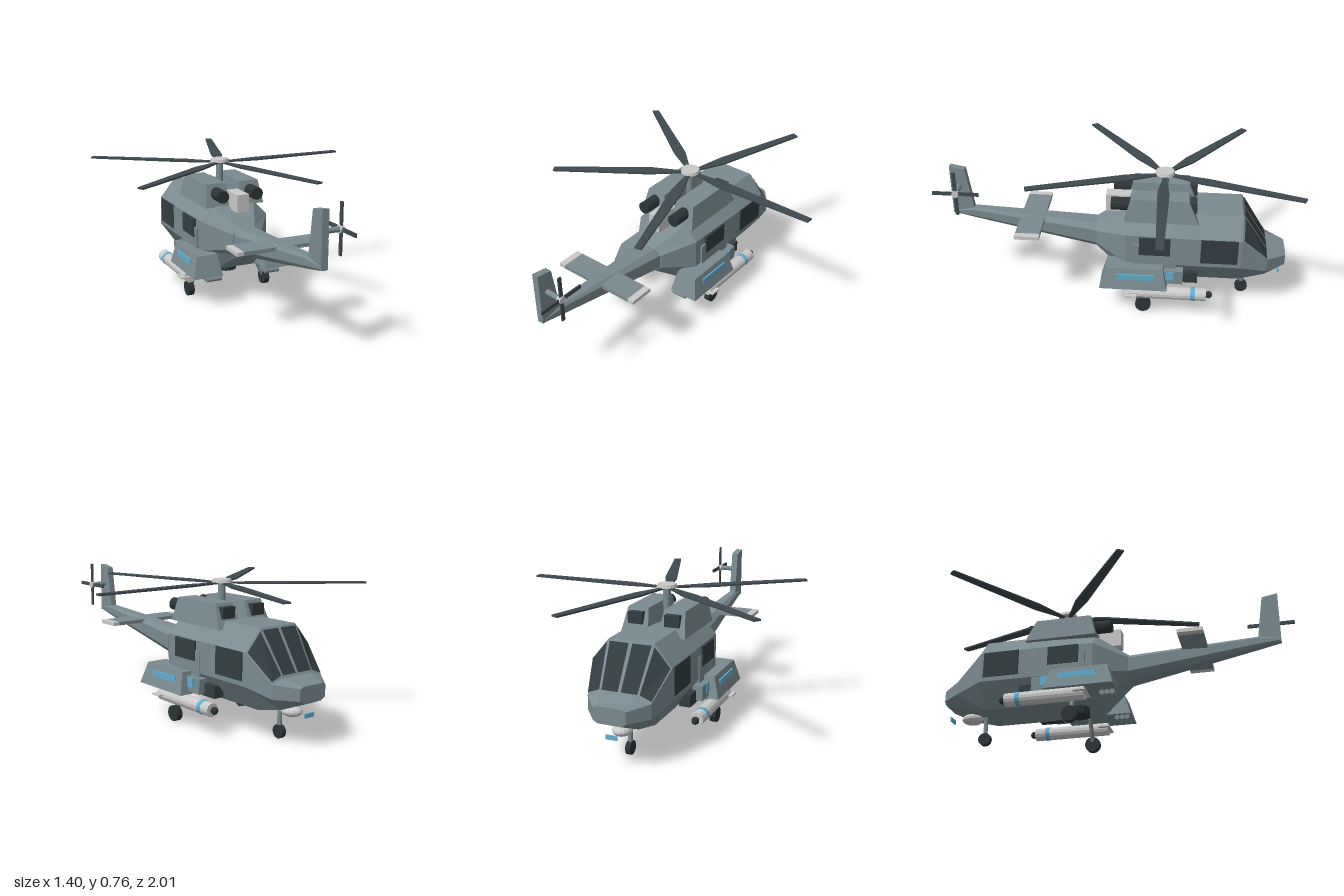
import * as THREE from 'three';

const mat = (name, color) => {
  const m = new THREE.MeshStandardMaterial({ color, flatShading: true });
  m.name = name;
  return m;
};

export function createModel() {
  const body = mat('hull grey', 0x7a8b90);
  const glass = mat('dark glass', 0x333d40);
  const blade = mat('blade grey', 0x3f4a4e);
  const black = mat('rubber black', 0x2c3437);
  const light = mat('pale grey', 0xc9cac9);
  const blue = mat('marking blue', 0x62aed2);

  const model = new THREE.Group();
  const craft = new THREE.Group();
  craft.name = 'helicopter';
  craft.position.x = -0.07;
  model.add(craft);

  const add = (name, geo, m, x = 0, y = 0, z = 0, parent = craft) => {
    const mesh = new THREE.Mesh(geo, m);
    mesh.name = name;
    mesh.position.set(x, y, z);
    parent.add(mesh);
    return mesh;
  };
  // box from its minimum and maximum corners
  const box = (name, m, x0, x1, y0, y1, z0, z1) =>
    add(name, new THREE.BoxGeometry(Math.abs(x1 - x0), y1 - y0, z1 - z0), m, (x0 + x1) / 2, (y0 + y1) / 2, (z0 + z1) / 2);
  // box whose upper face is smaller: [x0, x1, z0, z1] below and above
  const taperBox = (name, m, lo, y0, hi, y1) => {
    const g = new THREE.BoxGeometry(1, 1, 1), p = g.attributes.position;
    for (let i = 0; i < p.count; i++) {
      const up = p.getY(i) > 0, r = up ? hi : lo;
      p.setXYZ(i, p.getX(i) > 0 ? r[1] : r[0], up ? y1 : y0, p.getZ(i) > 0 ? r[3] : r[2]);
    }
    g.computeVertexNormals();
    return add(name, g, m);
  };
  const rod = (name, m, a, b, r, r2 = r, sides = 10) => {
    const A = new THREE.Vector3(...a), B = new THREE.Vector3(...b), d = B.clone().sub(A);
    const mesh = add(name, new THREE.CylinderGeometry(r2, r, d.length(), sides), m);
    mesh.position.copy(A).add(B).multiplyScalar(0.5);
    mesh.quaternion.setFromUnitVectors(new THREE.Vector3(0, 1, 0), d.normalize());
    return mesh;
  };

  // eight-sided sections: z, top, shoulder, lower side, bottom, then half widths top, side, bottom
  const ring = ([z, t, s, l, b, wt, ws, wb]) => [
    [wb, b, z], [ws, l, z], [ws, s, z], [wt, t, z], [-wt, t, z], [-ws, s, z], [-ws, l, z], [-wb, b, z]];
  const loft = (name, rows) => {
    const v = [], rings = rows.map(ring);
    const tri = (...ps) => ps.forEach((p) => v.push(...p));
    for (let k = 0; k + 1 < rings.length; k++) {
      for (let i = 0; i < 8; i++) {
        const j = (i + 1) % 8, a = rings[k], b = rings[k + 1];
        tri(a[i], a[j], b[j]);
        tri(a[i], b[j], b[i]);
      }
    }
    const f = rings[0], e = rings[rings.length - 1];
    for (let i = 1; i < 7; i++) {
      tri(f[0], f[i + 1], f[i]);
      tri(e[0], e[i], e[i + 1]);
    }
    const g = new THREE.BufferGeometry();
    g.setAttribute('position', new THREE.Float32BufferAttribute(v, 3));
    g.computeVertexNormals();
    return add(name, g, body);
  };

  // fuselage and tail boom
  const noseRow = [-0.845, 0.345, 0.325, 0.25, 0.19, 0.1, 0.165, 0.1];
  const cabinRow = [-0.7, 0.57, 0.46, 0.29, 0.16, 0.12, 0.21, 0.12];
  loft('fuselage', [
    [-0.95, 0.32, 0.31, 0.25, 0.235, 0.065, 0.085, 0.06], noseRow, cabinRow,
    [-0.43, 0.57, 0.46, 0.29, 0.16, 0.12, 0.21, 0.12],
    [-0.07, 0.54, 0.46, 0.29, 0.17, 0.12, 0.2, 0.12],
    [0.1, 0.44, 0.41, 0.33, 0.29, 0.045, 0.085, 0.045]]);
  loft('tailBoom', [
    [0.1, 0.44, 0.41, 0.33, 0.29, 0.045, 0.08, 0.04],
    [0.8, 0.487, 0.475, 0.44, 0.425, 0.018, 0.028, 0.018],
    [0.92, 0.47, 0.465, 0.455, 0.449, 0.012, 0.018, 0.012]]);

  // windscreen panes laid just above the cockpit faces
  const N = ring(noseRow), C = ring(cabinRow);
  const pane = (name, a, b, c, d, u0, u1) => {
    const [A, B, Cc, D] = [a, b, c, d].map((p) => new THREE.Vector3(...p));
    const n = B.clone().sub(A).cross(D.clone().sub(A)).normalize().multiplyScalar(0.005);
    const at = (u, w) => A.clone().lerp(B, u).lerp(D.clone().lerp(Cc, u), w).add(n);
    const g = new THREE.BufferGeometry().setFromPoints(
      [at(u0, 0.05), at(u1, 0.05), at(u1, 0.95), at(u0, 0.05), at(u1, 0.95), at(u0, 0.95)]);
    g.computeVertexNormals();
    add(name, g, glass);
  };
  pane('windscreenLeft', N[3], N[4], C[4], C[3], 0.04, 0.46);
  pane('windscreenRight', N[3], N[4], C[4], C[3], 0.54, 0.96);
  pane('quarterWindowLeft', N[2], N[3], C[3], C[2], 0.04, 0.95);
  pane('quarterWindowRight', N[4], N[5], C[5], C[4], 0.05, 0.96);

  // tail fin
  const finShape = new THREE.Shape([[-0.92, 0.45], [-0.79, 0.45], [-0.8, 0.485], [-0.835, 0.725], [-0.92, 0.74]]
    .map((p) => new THREE.Vector2(...p)));
  const fin = add('tailFin', new THREE.ExtrudeGeometry(finShape, { depth: 0.036, bevelEnabled: false }), body, -0.018);
  fin.rotation.y = Math.PI / 2;

  // stabiliser with pale tips
  box('stabiliser', body, -0.22, 0.22, 0.437, 0.457, 0.395, 0.53);
  for (const s of [-1, 1]) box('stabiliserTip', light, s * 0.22, s * 0.257, 0.437, 0.457, 0.395, 0.53);

  // tail rotor
  rod('tailRotorShaft', body, [0, 0.622, 0.872], [0.1, 0.622, 0.872], 0.014);
  rod('tailRotorHub', light, [0.098, 0.622, 0.872], [0.122, 0.622, 0.872], 0.02);
  box('tailRotorBlades', blade, 0.108, 0.116, 0.492, 0.752, 0.862, 0.882);
  box('tailRotorBlades', blade, 0.108, 0.116, 0.612, 0.632, 0.742, 1.0);

  // main rotor
  rod('mast', body, [0, 0.5, -0.27], [0, 0.745, -0.27], 0.02);
  const hub = rod('rotorHub', light, [0, 0.742, -0.27], [0, 0.76, -0.27], 0.054, 0.05, 16);
  hub.renderOrder = 0;
  const bladeShape = new THREE.Shape([[0.03, -0.012], [0.07, -0.013], [0.21, -0.034], [0.765, -0.018],
    [0.768, 0.02], [0.23, 0.03], [0.07, 0.013], [0.03, 0.012]].map((p) => new THREE.Vector2(...p)));
  const bladeGeo = new THREE.ExtrudeGeometry(bladeShape, { depth: 0.009, bevelEnabled: false });
  bladeGeo.rotateX(-Math.PI / 2);
  for (let i = 0; i < 5; i++) {
    add('rotorBlade', bladeGeo, blade, 0, 0.735, -0.27).rotation.y = i * Math.PI * 0.4;
  }

  // gearbox cover between the engines
  box('gearboxCover', light, -0.035, 0.035, 0.515, 0.615, -0.1, 0.05);

  // parts on both sides
  for (const s of [-1, 1]) {
    const sorted = (a, b) => (s > 0 ? [a, b] : [-b, -a]);
    // engine, intake and exhaust
    taperBox('engineHousing', body, [...sorted(0.025, 0.176), -0.46, -0.06], 0.53, [...sorted(0.043, 0.156), -0.405, -0.095], 0.657);
    box('engineIntake', glass, s * 0.06, s * 0.14, 0.58, 0.64, -0.45, -0.4);
    rod('exhaust', black, [s * 0.102, 0.603, -0.1], [s * 0.102, 0.603, 0.015], 0.035, 0.035, 12);

    // cabin door and windows
    box('cabinDoor', body, s * 0.19, s * 0.213, 0.2, 0.41, -0.35, -0.11);
    box('frontWindow', glass, s * 0.2, s * 0.215, 0.315, 0.46, -0.68, -0.48);
    box('rearWindow', glass, s * 0.19, s * 0.217, 0.35, 0.455, -0.315, -0.145);
    box('footStep', glass, s * 0.15, s * 0.21, 0.18, 0.245, -0.47, -0.34);

    // sponson with markings
    taperBox('sponson', body, [...sorted(0.13, 0.3), -0.305, 0.065], 0.175, [...sorted(0.15, 0.27), -0.28, 0.03], 0.292);
    box('sponsonStripe', blue, s * 0.27, s * 0.286, 0.23, 0.262, -0.235, -0.03);
    box('sponsonFairing', body, s * 0.19, s * 0.245, 0.19, 0.27, -0.39, -0.28);
    box('fairingMark', blue, s * 0.243, s * 0.249, 0.215, 0.268, -0.34, -0.295);
    for (let i = 0; i < 3; i++) {
      rod('launcherTube', body, [s * 0.135, 0.158, 0.045 - i * 0.028], [s * 0.22, 0.158, 0.045 - i * 0.028], 0.015, 0.015, 8);
    }

    // missile
    const mx = s * 0.263, my = 0.142;
    rod('missile', light, [mx, my, -0.09], [mx, my, -0.52], 0.036, 0.036, 14);
    rod('missileBand', blue, [mx, my, -0.435], [mx, my, -0.46], 0.038, 0.038, 14);
    add('missileTip', new THREE.SphereGeometry(0.02, 10, 8), black, mx, my, -0.535);
    box('missileFins', light, mx - 0.058, mx + 0.058, my - 0.004, my + 0.004, -0.14, -0.075);
    box('missilePylon', body, mx - 0.012, mx + 0.012, 0.16, 0.19, -0.29, -0.15);

    // main wheel
    rod('mainStrut', body, [s * 0.17, 0.175, -0.175], [s * 0.235, 0.05, -0.175], 0.012);
    rod('mainWheel', black, [s * 0.221, 0.043, -0.175], [s * 0.255, 0.043, -0.175], 0.043, 0.043, 12);
  }

  // nose wheel
  rod('noseStrut', body, [0, 0.19, -0.73], [0, 0.04, -0.73], 0.012);
  rod('noseWheel', black, [-0.013, 0.036, -0.73], [0.013, 0.036, -0.73], 0.036, 0.036, 12);

  // belly radome, nose sensor and probe
  rod('bellyRadome', black, [0, 0.125, -0.19], [0, 0.175, -0.19], 0.058, 0.058, 14);
  add('noseSensor', new THREE.SphereGeometry(1, 14, 10), light, 0, 0.162, -0.81).scale.set(0.05, 0.03, 0.062);
  box('noseProbe', blue, -0.03, 0.03, 0.155, 0.177, -0.934, -0.926);

  return model;
}
